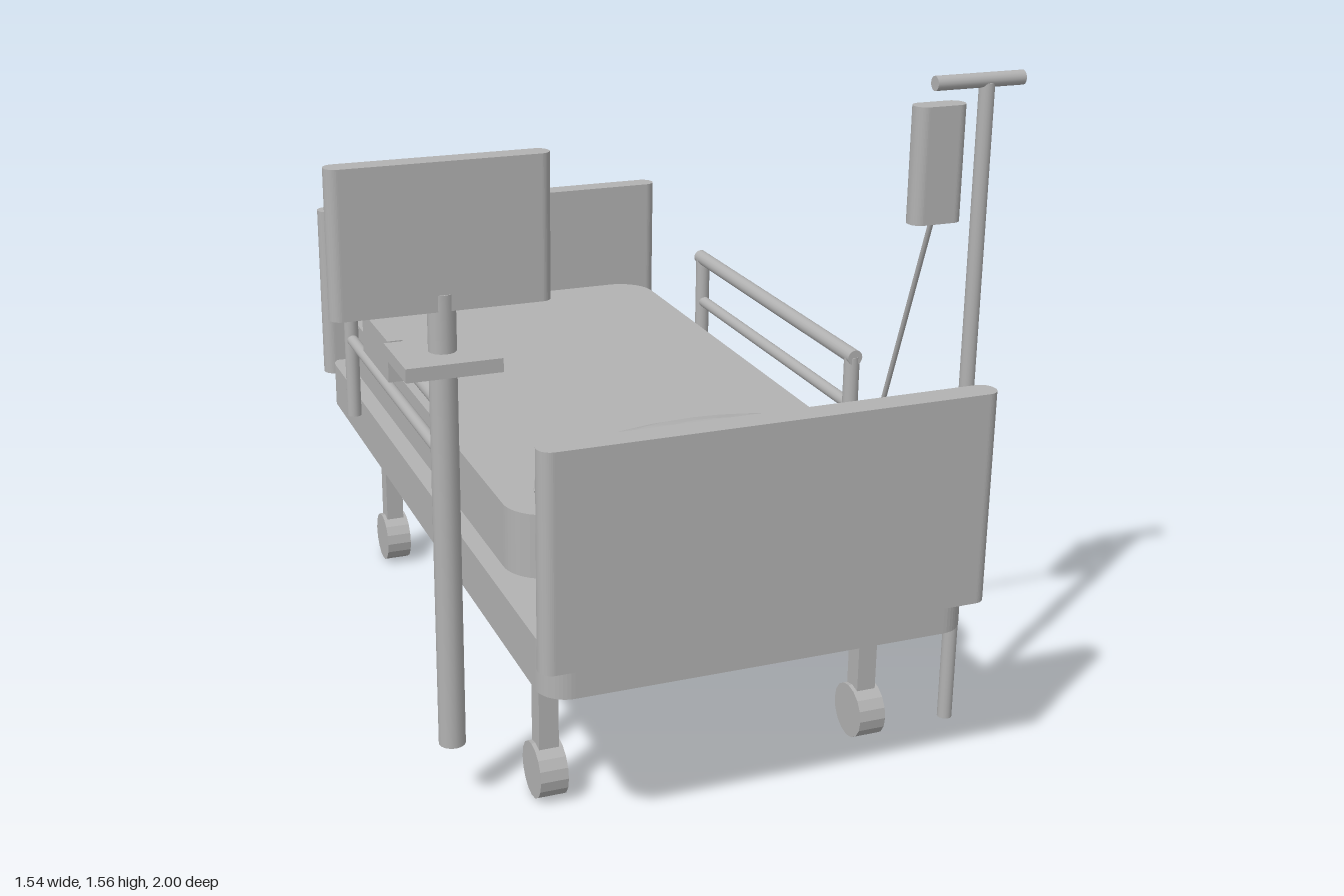
import * as THREE from 'three';

const grey = new THREE.MeshStandardMaterial({ color: 0xb2b2b2 });
grey.name = 'plain grey';

const CX = 0.056; // middle of the bed

export function createModel() {
  const model = new THREE.Group();
  model.name = 'hospitalBed';

  const add = (parent, name, geometry, x, y, z) => {
    const mesh = new THREE.Mesh(geometry, grey);
    mesh.name = name;
    mesh.position.set(x, y, z);
    parent.add(mesh);
    return mesh;
  };
  const group = (name) => {
    const g = new THREE.Group();
    g.name = name;
    model.add(g);
    return g;
  };
  const box = (w, h, d) => new THREE.BoxGeometry(w, h, d);
  const faceted = (geometry) => {
    const g = geometry.toNonIndexed();
    g.computeVertexNormals();
    return g;
  };

  // Slab standing on y = 0 with corners rounded in plan
  const slab = (w, h, d, r) => {
    const s = new THREE.Shape();
    const a = w / 2 - r, b = d / 2 - r;
    s.absarc(a, b, r, 0, Math.PI / 2);
    s.absarc(-a, b, r, Math.PI / 2, Math.PI);
    s.absarc(-a, -b, r, Math.PI, Math.PI * 1.5);
    s.absarc(a, -b, r, Math.PI * 1.5, Math.PI * 2);
    const g = new THREE.ExtrudeGeometry(s, { depth: h, bevelEnabled: false, curveSegments: 6 });
    return g.rotateX(-Math.PI / 2);
  };

  // Round bar between two points
  const bar = (parent, name, from, to, r) => {
    const a = new THREE.Vector3(...from), b = new THREE.Vector3(...to);
    const dir = b.clone().sub(a);
    const mid = a.clone().add(b).multiplyScalar(0.5);
    const mesh = add(parent, name, new THREE.CylinderGeometry(r, r, dir.length(), 16), mid.x, mid.y, mid.z);
    mesh.quaternion.setFromUnitVectors(new THREE.Vector3(0, 1, 0), dir.normalize());
    return mesh;
  };

  // Bed frame, mattress and end boards
  add(model, 'bedFrame', slab(0.98, 0.12, 1.925, 0.065), CX, 0.395, 0);
  add(model, 'mattress', slab(0.895, 0.15, 1.56, 0.095), CX, 0.515, -0.13);
  add(model, 'headboard', slab(1.015, 0.48, 0.06, 0.029), CX, 0.475, 0.968);
  add(model, 'footboard', slab(1.015, 0.48, 0.06, 0.029), CX, 0.475, -0.968);

  // Pillow
  const pillow = faceted(new THREE.SphereGeometry(1, 20, 12).scale(0.405, 0.098, 0.176));
  add(model, 'pillow', pillow, 0.06, 0.718, 0.63);

  // Legs with wheels
  for (const sx of [-1, 1]) for (const sz of [-1, 1]) {
    const leg = group('wheeledLeg');
    const x = CX + sx * 0.392, z = sz * 0.67;
    add(leg, 'legPost', box(0.046, 0.31, 0.05), x, 0.223, z);
    const wheel = new THREE.CylinderGeometry(0.065, 0.065, 0.065, 16).rotateZ(Math.PI / 2);
    add(leg, 'wheel', faceted(wheel), x, 0.066, z);
  }

  // Side rails
  for (const side of [-1, 1]) {
    const rail = group(side > 0 ? 'leftRail' : 'rightRail');
    const x = CX + side * 0.511;
    for (const z of [0.328, -0.582]) bar(rail, 'railPost', [x, 0.478, z], [x, 0.82, z], 0.019);
    bar(rail, 'topBar', [x, 0.82, 0.345], [x, 0.82, -0.6], 0.019);
    bar(rail, 'lowerBar', [x, 0.695, 0.328], [x, 0.695, -0.582], 0.015);
  }
  add(model, 'controlPanel', box(0.038, 0.105, 0.255), -0.467, 0.803, -0.183);

  // Monitor stand with shelf, screen and buttons
  const stand = group('monitorStand');
  bar(stand, 'standPole', [-0.54, 0.15, 0.635], [-0.54, 1.185, 0.635], 0.03);
  add(stand, 'shelf', box(0.205, 0.03, 0.175), -0.54, 1.045, 0.638);
  add(stand, 'monitor', slab(0.465, 0.31, 0.05, 0.024), -0.54, 1.15, 0.636);
  add(stand, 'screen', box(0.4, 0.235, 0.009), -0.54, 1.312, 0.607);
  for (let i = 0; i < 4; i++) {
    const button = new THREE.CylinderGeometry(0.008, 0.008, 0.014, 10).rotateX(Math.PI / 2);
    add(stand, 'button', button, -0.73 + i * 0.03, 1.175, 0.605);
  }

  // Drip stand with bag and hose
  const drip = group('dripStand');
  bar(drip, 'dripPole', [0.68, 0, 0.668], [0.68, 1.54, 0.668], 0.0175);
  bar(drip, 'crossBar', [0.552, 1.545, 0.668], [0.768, 1.545, 0.668], 0.0165);
  add(drip, 'dripBag', slab(0.122, 0.26, 0.054, 0.025), 0.566, 1.24, 0.668);
  bar(drip, 'hose', [0.565, 1.24, 0.665], [0.603, 0.662, 0.4], 0.006);

  return model;
}
